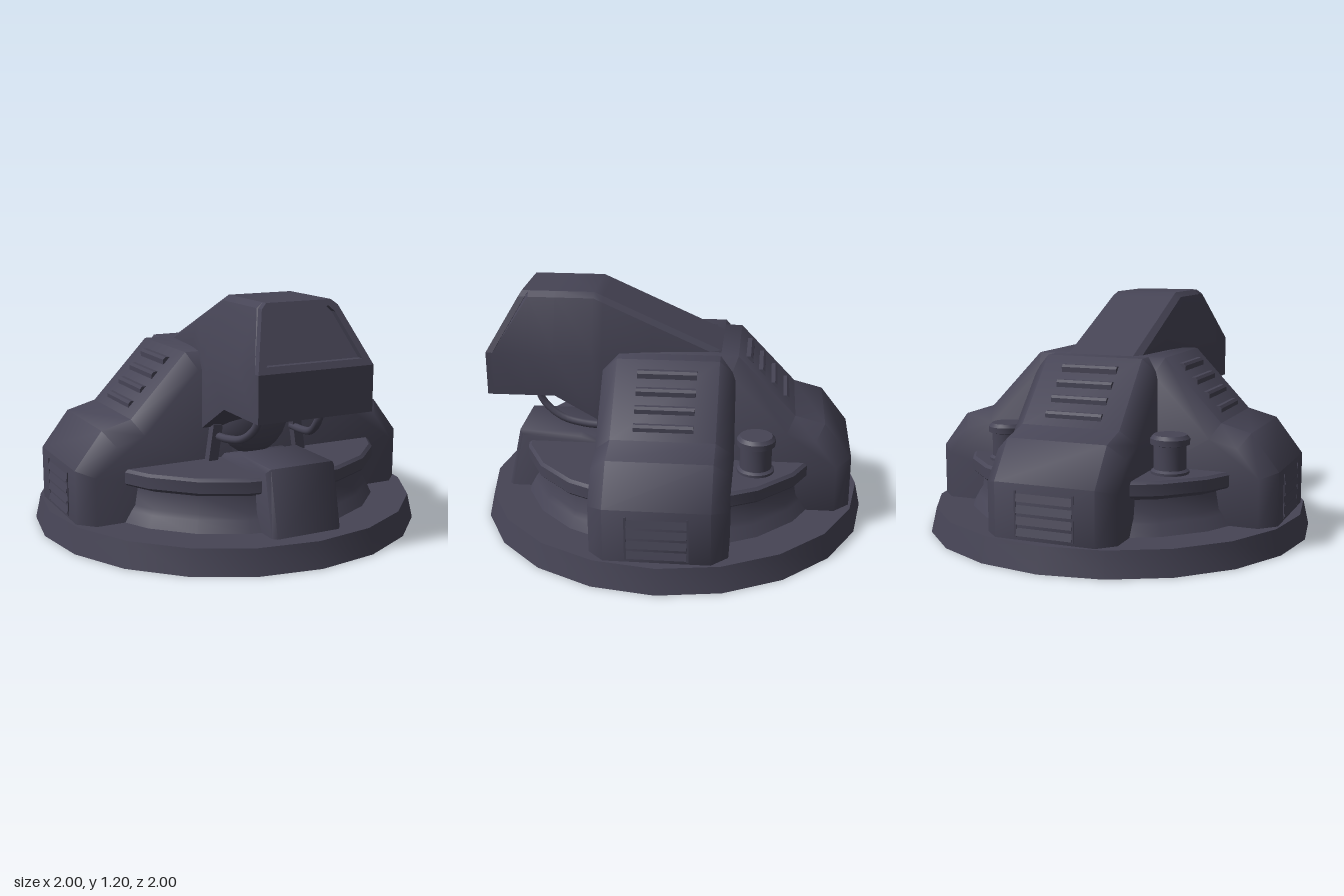
import * as THREE from 'three';
import { toCreasedNormals } from 'three/addons/utils/BufferGeometryUtils.js';

const hull = new THREE.MeshStandardMaterial({ color: 0x464455 });
hull.name = 'dark slate';

function add(parent, name, geometry, x = 0, y = 0, z = 0) {
  const mesh = new THREE.Mesh(geometry, hull);
  mesh.name = name;
  mesh.position.set(x, y, z);
  parent.add(mesh);
  return mesh;
}

const box = (w, h, d) => new THREE.BoxGeometry(w, h, d);
const vectors = (pts) => pts.map(([x, y]) => new THREE.Vector2(x, y));
const lathe = (pts, sides) =>
  toCreasedNormals(new THREE.LatheGeometry(vectors(pts), sides), 0.6);

// Prism centred on its depth, with chamfered rims that stay inside the outline
function chamferedPrism(pts, width, chamfer, floorBelow, floorY) {
  const geo = new THREE.ExtrudeGeometry(new THREE.Shape(vectors(pts)), {
    depth: width - 2 * chamfer, bevelEnabled: true, bevelSegments: 1,
    bevelThickness: chamfer, bevelSize: chamfer, bevelOffset: -chamfer,
  });
  geo.translate(0, 0, chamfer - width / 2);
  const p = geo.attributes.position;
  for (let i = 0; i < p.count; i++) if (p.getY(i) < floorBelow) p.setY(i, floorY);
  return toCreasedNormals(geo, 0.9);
}

// Skin over equal-sized rings ordered along +z, capped at both ends
function loft(rings) {
  const n = rings[0].length, index = [];
  for (let i = 0; i < rings.length - 1; i++) {
    for (let j = 0; j < n; j++) {
      const k = (j + 1) % n;
      const a = i * n + j, b = i * n + k, c = b + n, d = a + n;
      index.push(a, b, c, a, c, d);
    }
  }
  const last = (rings.length - 1) * n;
  for (let j = 1; j < n - 1; j++) {
    index.push(last, last + j, last + j + 1, 0, j + 1, j);
  }
  const geo = new THREE.BufferGeometry();
  geo.setAttribute('position', new THREE.Float32BufferAttribute(rings.flat(2), 3));
  geo.setIndex(index);
  return toCreasedNormals(geo, 0.5);
}

// Stepped louvre block, extruded across the buttress slope
function louvres() {
  const pts = [[0.3, 0.6], [0.3, 0.878]];
  for (let i = 0; i < 4; i++) {
    const x = 0.41 + i * 0.063, y = 0.878 - i * 0.068;
    pts.push([x - 0.012, y], [x, y - 0.012], [x, y - 0.05], [x - 0.02, y - 0.068]);
  }
  const geo = new THREE.ExtrudeGeometry(new THREE.Shape(vectors(pts)), { depth: 0.29, bevelEnabled: false });
  return geo.translate(0, 0, -0.145);
}

// Buttress pointing along +x, with louvres on the slope and a vent at its end
function buttress(name, turn) {
  const group = new THREE.Group();
  group.name = name;
  group.rotation.y = turn;
  add(group, 'buttressBody', chamferedPrism(
    [[-0.2, 0.1], [0.92, 0.1], [0.92, 0.39], [0.78, 0.57], [0.63, 0.61], [0.34, 0.915], [-0.2, 0.915]],
    0.66, 0.078, 0.25, 0.1));
  add(group, 'slopeLouvres', louvres());
  for (let i = 0; i < 4; i++) {
    const slat = add(group, 'ventSlat', box(0.02, 0.046, 0.28), 0.914, 0.165 + i * 0.054, 0);
    slat.rotation.z = 0.25;
  }
  for (const s of [-1, 1]) add(group, 'ventFrame', box(0.02, 0.22, 0.01), 0.914, 0.247, s * 0.145);
  return group;
}

// Gun head cross-section: straight cheeks, sloped shoulders, small top chamfer
function headRing([z, bottom, knee, top, w, wt]) {
  const half = [[w, bottom], [w, knee], [wt + 0.03, Math.max(knee, top - 0.025)], [wt, top]];
  const other = half.map(([x, y]) => [-x, y]).reverse();
  return [...half, ...other].map(([x, y]) => [x, y, z]);
}

// Window frame with vertical extents in y, sheared back to follow the sloped face
function windowFrame() {
  const face = new THREE.Shape(vectors(
    [[-0.3, 0.91], [0.3, 0.91], [0.2, 1.175], [0.17, 1.2], [-0.17, 1.2], [-0.2, 1.175]]));
  face.holes.push(new THREE.Path(vectors(
    [[-0.25, 0.94], [-0.175, 1.145], [-0.15, 1.172], [0.15, 1.172], [0.175, 1.145], [0.25, 0.94]])));
  const geo = new THREE.ExtrudeGeometry(face, { depth: 0.034, bevelEnabled: false });
  const p = geo.attributes.position;
  for (let i = 0; i < p.count; i++) {
    p.setZ(i, p.getZ(i) + 0.886 - (p.getY(i) - 0.91) * 0.17 / 0.29);
  }
  geo.computeVertexNormals();
  return geo;
}

export function createModel() {
  const model = new THREE.Group();
  model.name = 'turret';

  // Hollow footing and the waisted drum on it
  add(model, 'footing', lathe(
    [[0, 0.118], [0.84, 0.118], [0.99, 0], [1, 0], [0.972, 0.125], [0, 0.125]], 20));
  add(model, 'drum', lathe(
    [[0.785, 0.12], [0.752, 0.18], [0.735, 0.205], [0.722, 0.29], [0.738, 0.31],
      [0.77, 0.31], [0.78, 0.32], [0.78, 0.375], [0.765, 0.388], [0, 0.388]], 20));

  // Three buttresses, with ribs under the footing along their sides
  [['leftButtress', 0], ['rightButtress', Math.PI], ['backButtress', Math.PI / 2]].forEach(([name, turn]) => {
    const arm = buttress(name, turn);
    for (const s of [-1, 1]) add(arm, 'underRib', box(0.53, 0.09, 0.012), 0.595, 0.075, s * 0.33);
    model.add(arm);
  });

  // Front foot block and its ribs underneath
  const foot = add(model, 'frontFoot', chamferedPrism(
    [[0.2, 0.1], [0.875, 0.1], [0.8, 0.44], [0.47, 0.44], [0.36, 0.405], [0.2, 0.405]],
    0.37, 0.02, 0.2, 0.1));
  foot.rotation.y = -Math.PI / 2;
  for (const s of [-1, 1]) add(model, 'frontUnderRib', box(0.012, 0.09, 0.53), s * 0.3, 0.075, 0.595);

  // Head: z, bottom, knee, top, half width, half width of top
  add(model, 'gunHead', loft([
    [-0.3, 0.6, 0.85, 0.893, 0.2, 0.17],
    [0.1, 0.52, 0.91, 1.072, 0.235, 0.17],
    [0.34, 0.55, 0.91, 1.18, 0.29, 0.17],
    [0.385, 0.578, 0.91, 1.2, 0.292, 0.17],
    [0.58, 0.69, 0.91, 1.2, 0.295, 0.17],
    [0.716, 0.69, 0.91, 1.2, 0.298, 0.17],
    [0.886, 0.69, 0.91, 0.91, 0.3, 0.27],
    [0.92, 0.69, 0.91, 0.91, 0.3, 0.27],
  ].map(headRing)));
  add(model, 'windowFrame', windowFrame());

  // Swivel joint, struts and hoses below the head
  const joint = add(model, 'swivelJoint', new THREE.SphereGeometry(0.2, 20, 12), 0, 0.58, 0.3);
  joint.scale.z = 0.65;
  for (const s of [-1, 1]) {
    const strut = add(model, 'strut', box(0.05, 0.18, 0.06), s * 0.235, 0.475, 0.345);
    strut.rotation.z = s * 0.15;
    const path = new THREE.CatmullRomCurve3([
      [0.17, 0.71, 0.7], [0.17, 0.61, 0.665], [0.19, 0.535, 0.57], [0.21, 0.51, 0.45], [0.22, 0.505, 0.33],
    ].map(([x, y, z]) => new THREE.Vector3(s * x, y, z)));
    add(model, 'hose', new THREE.TubeGeometry(path, 16, 0.02, 8));

    // Capped posts between the buttresses
    add(model, 'post', lathe(
      [[0.092, 0.38], [0.092, 0.4], [0.078, 0.41], [0.078, 0.525], [0.095, 0.53],
        [0.095, 0.558], [0.08, 0.575], [0, 0.575]], 20), s * 0.435, 0, -0.44);
  }
  return model;
}
